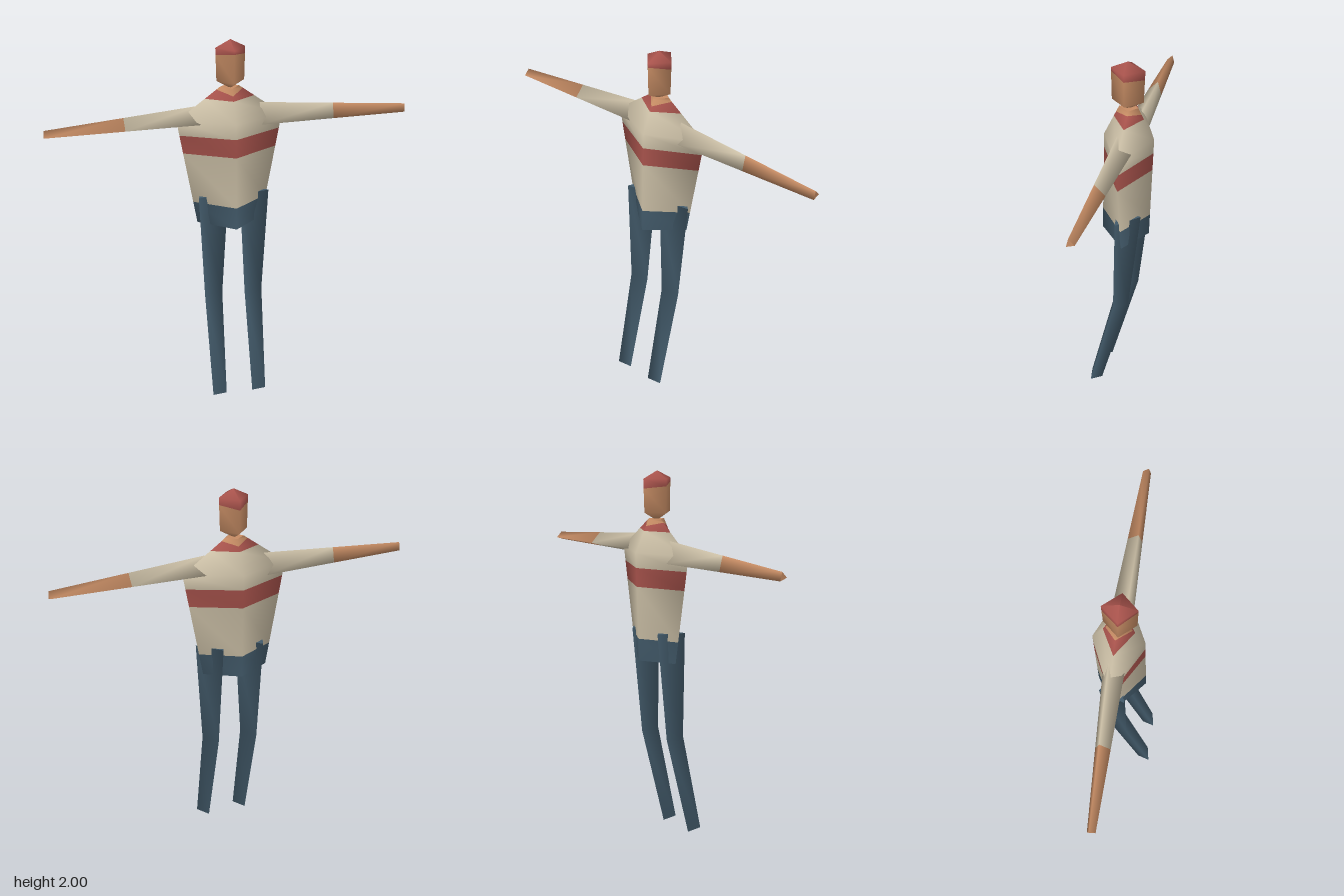
import * as THREE from 'three';

const paint = (name, color) => {
  const m = new THREE.MeshStandardMaterial({ color });
  m.name = name;
  return m;
};

// Skins a stack of rings; bands[i] is the material between ring i and i + 1.
// Corners run counter-clockwise when seen from the far end of the stack.
function loft(name, rings, bands) {
  const n = rings[0].length;
  const points = rings.flat();
  const index = [];
  const materials = [...new Set(bands)];
  const geometry = new THREE.BufferGeometry();
  const group = (start, material) =>
    geometry.addGroup(start, index.length - start, materials.indexOf(material));

  bands.forEach((material, i) => {
    const start = index.length;
    for (let j = 0; j < n; j++) {
      const a = i * n + j, b = i * n + (j + 1) % n;
      index.push(a, b, a + n, b, b + n, a + n);
    }
    group(start, material);
  });

  // Flat end caps on their own vertices
  [[rings[0], true, bands[0]], [rings.at(-1), false, bands.at(-1)]].forEach(([ring, flip, material]) => {
    const base = points.length, start = index.length;
    points.push(...ring);
    for (let j = 1; j < n - 1; j++) {
      index.push(base, base + (flip ? j + 1 : j), base + (flip ? j : j + 1));
    }
    group(start, material);
  });

  geometry.setAttribute('position', new THREE.Float32BufferAttribute(points.flat(), 3));
  geometry.setIndex(index);
  geometry.computeVertexNormals();
  const mesh = new THREE.Mesh(geometry, materials);
  mesh.name = name;
  return mesh;
}

// Reads [half width, front z, back z] from a profile of [y, ...] rows
function sample(profile, y) {
  let i = 1;
  while (i < profile.length - 1 && y > profile[i][0]) i++;
  const [p, q] = [profile[i - 1], profile[i]];
  const t = (y - p[0]) / (q[0] - p[0]);
  return [1, 2, 3].map(k => THREE.MathUtils.lerp(p[k], q[k], t));
}

// Four-cornered ring whose front, side and back corners may differ in height
function diamond(profile, midZ, front, side = front, back = front) {
  const w = sample(profile, side)[0];
  return [
    [0, front, sample(profile, front)[1]], [w, side, midZ],
    [0, back, sample(profile, back)[2]], [-w, side, midZ],
  ];
}

export function createModel() {
  const shirt = paint('shirt cream', 0xcbbfa6);
  const red = paint('red', 0xa8534c);
  const skin = paint('skin', 0xc68c64);
  const denim = paint('denim blue', 0x435b6b);
  const model = new THREE.Group();
  model.name = 'figure';

  // Torso: trousers waist, striped shirt, collar and neck
  const torso = [
    [1.0, 0.18, 0.113, -0.145], [1.58, 0.285, 0.10, -0.165], [1.75, 0.05, 0.02, -0.08],
  ];
  const body = (...heights) => diamond(torso, -0.04, ...heights);
  model.add(loft('torso',
    [body(1.0), body(1.12), body(1.4), body(1.5), body(1.58), body(1.69), body(1.715, 1.735), body(1.75)],
    [denim, shirt, red, shirt, shirt, red, skin]));

  // Head with a cap of red hair, its edge higher at the front
  const head = [
    [1.75, 0.012, -0.01, -0.045], [1.785, 0.074, 0.058, -0.108],
    [1.96, 0.079, 0.062, -0.115], [2.0, 0.001, -0.024, -0.026],
  ];
  const skull = (...heights) => diamond(head, -0.025, ...heights);
  model.add(loft('head',
    [skull(1.75), skull(1.785), skull(1.94, 1.922, 1.91), skull(1.96), skull(2.0)],
    [skin, skin, red, red]));

  // Arms: tapering three-sided limbs, the right one turned half round
  const armCorners = [[0.065, 0.017], [-0.05, 0.047], [-0.015, -0.063]];
  for (const s of [1, -1]) {
    const shoulder = { x: 0.155, y: s > 0 ? 1.594 : 1.584, z: s > 0 ? -0.028 : -0.043, k: 1 };
    const wrist = { x: 0.97, y: 1.563, z: s > 0 ? -0.02 : -0.026, k: 0.38 };
    const ring = x => {
      const t = (x - shoulder.x) / (wrist.x - shoulder.x);
      const at = key => THREE.MathUtils.lerp(shoulder[key], wrist[key], t);
      return armCorners.map(([dy, dz]) => [s * x, at('y') + dy * at('k'), at('z') + s * dz * at('k')]);
    };
    model.add(loft(s > 0 ? 'leftArm' : 'rightArm', [ring(0.155), ring(0.56), ring(0.97)], [shirt, skin]));
  }

  // Legs: three-sided limbs bent at the knee; rows are [x, y, z, size, tilt]
  const legCorners = [[-0.035, 0.027], [0.045, 0.012], [-0.01, -0.04]];
  const joints = [
    [0.114, 0.016, 0.138, 1, 0.28], [0.112, 0.58, -0.005, 1.28, 0.2], [0.115, 1.16, -0.038, 2.1, 0],
  ];
  for (const [name, shift] of [['leftLeg', 0], ['rightLeg', -0.225]]) {
    const rings = joints.map(([x, y, z, k, tilt]) =>
      legCorners.map(([dx, dz]) => [x + shift + dx * k, y + dz * k * tilt, z + dz * k]));
    model.add(loft(name, rings, [denim, denim]));
  }
  return model;
}
